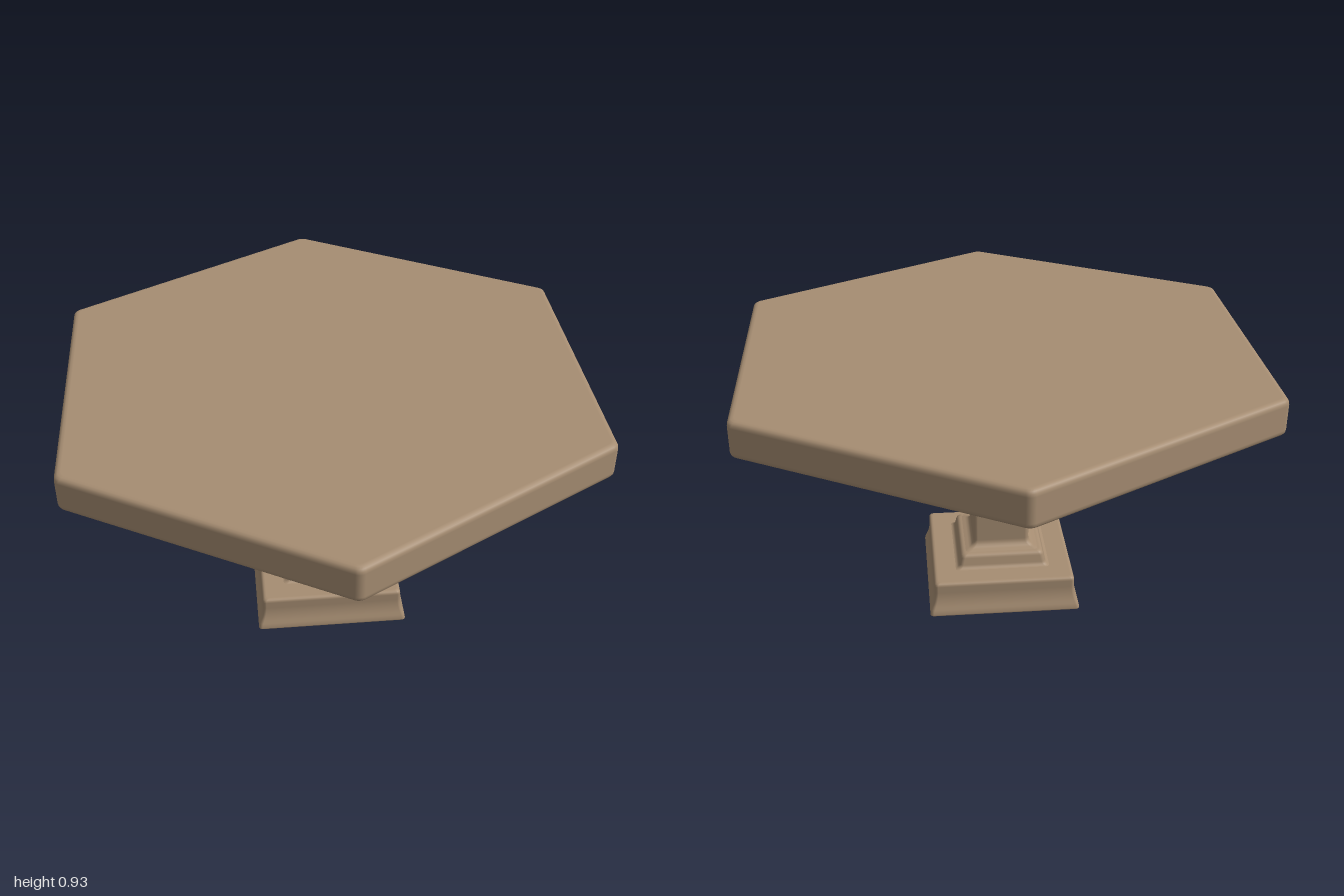
import * as THREE from 'three';

const wood = new THREE.MeshStandardMaterial({ color: 0xa68d72, roughness: 0.8 });

// Round the corners of a profile of [apothem, y, bevel] points; each result carries its own normal.
function roundProfile(points, steps = 4) {
  const pts = points.map(([a, y]) => new THREE.Vector2(a, y));
  const dirs = pts.slice(1).map((p, i) => p.clone().sub(pts[i]).normalize());
  const out = [];
  const add = (p, t) => {
    const n = new THREE.Vector2(t.y, -t.x).normalize();
    out.push({ a: Math.max(p.x, 0), y: p.y, n });
  };
  pts.forEach((p, i) => {
    if (i === 0) return add(p, dirs[0]);
    if (i === pts.length - 1) return add(p, dirs[i - 1]);
    const bevel = points[i][2];
    const start = p.clone().addScaledVector(dirs[i - 1], -bevel);
    const end = p.clone().addScaledVector(dirs[i], bevel);
    const curve = new THREE.QuadraticBezierCurve(start, p, end);
    for (let s = 0; s <= steps; s++) {
      const t = s / steps;
      add(curve.getPoint(t), dirs[i - 1].clone().lerp(dirs[i], t));
    }
  });
  return out;
}

// Sweep a profile around a regular polygon with rounded corners.
function polygonLoft(name, sides, turn, radius, points) {
  const half = Math.PI / sides, steps = 4;
  const rings = roundProfile(points);
  const position = [], normal = [], index = [];
  for (const { a, y, n } of rings) {
    const r = Math.min(radius, a);
    const centre = (a - r) / Math.cos(half);
    for (let k = 0; k < sides; k++) {
      const corner = turn + k * 2 * half;
      for (let s = 0; s <= steps; s++) {
        const angle = corner + half * (2 * s / steps - 1);
        position.push(
          centre * Math.sin(corner) + r * Math.sin(angle), y,
          centre * Math.cos(corner) + r * Math.cos(angle));
        normal.push(n.x * Math.sin(angle), n.y, n.x * Math.cos(angle));
      }
    }
  }
  const count = sides * (steps + 1);
  for (let i = 0; i < rings.length - 1; i++) {
    for (let j = 0; j < count; j++) {
      const k = (j + 1) % count;
      const a = i * count + j, b = i * count + k;
      index.push(a, b, b + count, a, b + count, a + count);
    }
  }
  const geometry = new THREE.BufferGeometry();
  geometry.setAttribute('position', new THREE.Float32BufferAttribute(position, 3));
  geometry.setAttribute('normal', new THREE.Float32BufferAttribute(normal, 3));
  geometry.setIndex(index);
  const mesh = new THREE.Mesh(geometry, wood);
  mesh.name = name;
  return mesh;
}

export function createModel() {
  const group = new THREE.Group();
  group.name = 'hexagonalTable';
  const square = Math.PI / 4;

  // Hexagonal top, points towards front and back
  group.add(polygonLoft('tabletop', 6, 0, 0.03, [
    [0, 0.797, 0], [0.87, 0.797, 0.022], [0.87, 0.925, 0.022], [0, 0.925, 0],
  ]));

  // Square column, flaring where it meets the top and the collar
  group.add(polygonLoft('column', 4, square, 0.015, [
    [0.13, 0.178, 0], [0.1, 0.188, 0.02], [0.1, 0.795, 0.022], [0.13, 0.799, 0],
  ]));

  // Stepped collar with a concave foot
  group.add(polygonLoft('collar', 4, square, 0.015, [
    [0.175, 0.124, 0], [0.158, 0.13, 0.01], [0.147, 0.175, 0.012], [0.09, 0.185, 0],
  ]));

  // Plinth flaring out to the floor
  group.add(polygonLoft('plinth', 4, square, 0.012, [
    [0, 0, 0], [0.269, 0, 0.006], [0.267, 0.016, 0.008], [0.25, 0.06, 0.028],
    [0.25, 0.126, 0.014], [0, 0.126, 0],
  ]));

  return group;
}
